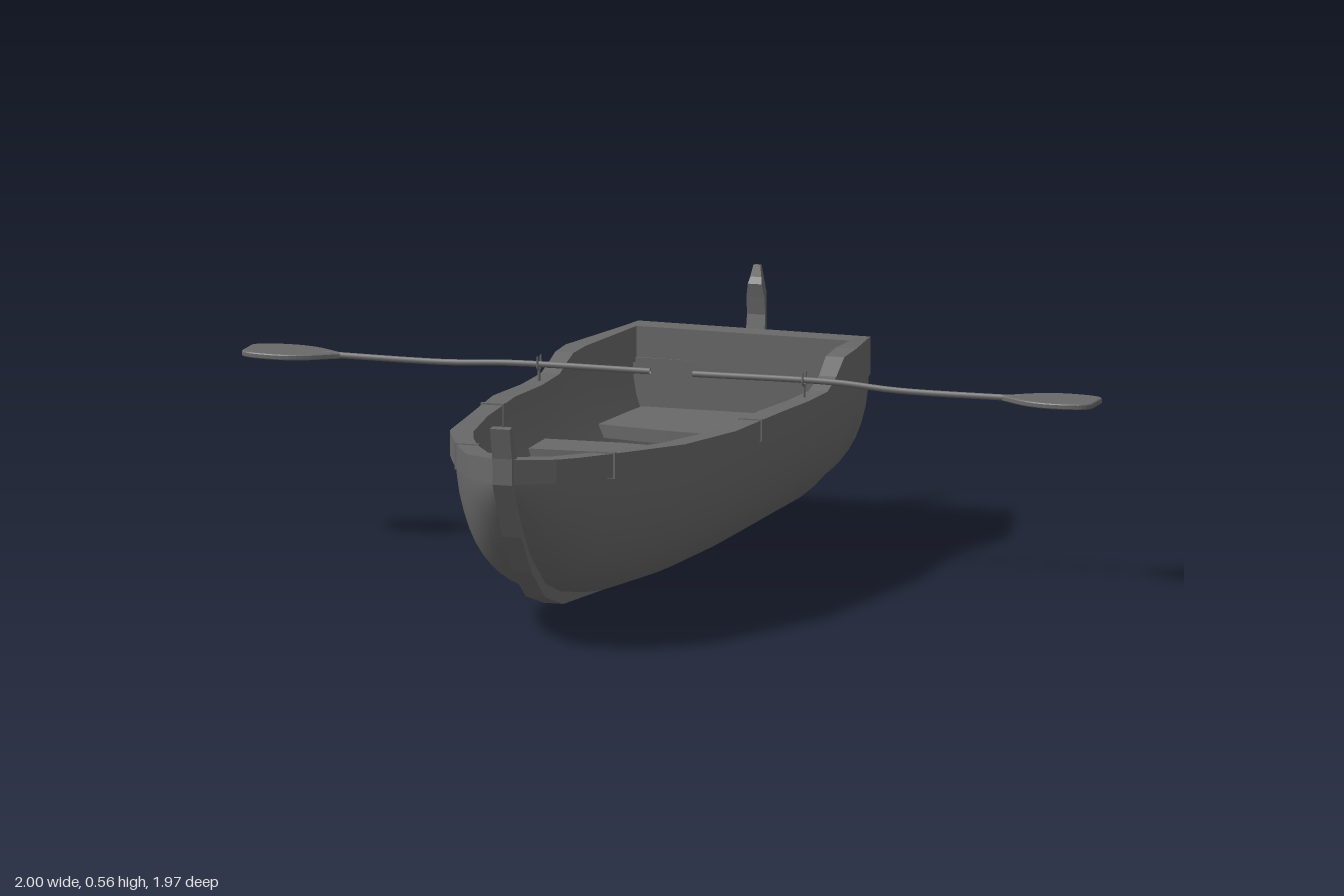
import * as THREE from 'three';

const smooth = new THREE.MeshStandardMaterial({ color: 0x696969, side: THREE.DoubleSide });
const flat = new THREE.MeshStandardMaterial({ color: 0x696969, side: THREE.DoubleSide, flatShading: true });

// Hull stations: z, rail half width, inner rail half width, keel y, rail underside y, rail top y (left), rail top y (right)
const stations = [
  [-0.84, 0.275, 0.255, 0.065, 0.345, 0.43, 0.43],
  [-0.78, 0.288, 0.26, 0.063, 0.35, 0.437, 0.43],
  [-0.53, 0.34, 0.292, 0.06, 0.37, 0.46, 0.43],
  [-0.45, 0.338, 0.295, 0.06, 0.37, 0.455, 0.428],
  [-0.40, 0.336, 0.295, 0.06, 0.366, 0.42, 0.415],
  [-0.34, 0.335, 0.292, 0.06, 0.36, 0.397, 0.4],
  [-0.20, 0.335, 0.288, 0.06, 0.36, 0.4, 0.4],
  [0.0, 0.337, 0.286, 0.06, 0.372, 0.412, 0.41],
  [0.25, 0.312, 0.268, 0.062, 0.362, 0.412, 0.412],
  [0.50, 0.275, 0.22, 0.075, 0.37, 0.425, 0.425],
  [0.62, 0.23, 0.18, 0.098, 0.378, 0.433, 0.433],
  [0.73, 0.185, 0.135, 0.135, 0.385, 0.44, 0.44],
  [0.84, 0.135, 0.075, 0.22, 0.393, 0.447, 0.447],
  [0.90, 0.105, 0.0, 0.295, 0.398, 0.452, 0.452],
  [0.965, 0.025, 0.0, 0.395, 0.402, 0.458, 0.458],
];

// Joins a row of equal cross-sections into one surface
function loft(sections) {
  const n = sections[0].length, index = [];
  for (let i = 0; i < sections.length - 1; i++) {
    for (let j = 0; j < n - 1; j++) {
      const a = i * n + j, b = a + n;
      index.push(a, a + 1, b, b, a + 1, b + 1);
    }
  }
  const geo = new THREE.BufferGeometry();
  geo.setAttribute('position', new THREE.Float32BufferAttribute(sections.flat(2), 3));
  geo.setIndex(index);
  geo.computeVertexNormals();
  return geo;
}

// Rounded hull section from one side over the keel to the other
function hullSection(z, width, keel, top) {
  const points = [], steps = 24;
  for (let i = 0; i <= steps; i++) {
    const t = (i / steps - 0.5) * Math.PI;
    points.push([
      width * Math.sign(t) * Math.pow(Math.abs(Math.sin(t)), 0.87),
      top - (top - keel) * Math.pow(Math.max(0, Math.cos(t)), 0.87), z]);
  }
  return points;
}

const shapeOf = pts => new THREE.Shape(pts.map(p => new THREE.Vector2(p[0], p[1])));

// Outline in (z, y), thickened across x
function sideProfile(pts, thickness) {
  const geo = new THREE.ExtrudeGeometry(shapeOf(pts), { depth: thickness, bevelEnabled: false });
  return geo.translate(0, 0, -thickness / 2).rotateY(-Math.PI / 2);
}

// Outline in (x, z), thickened downward from y
function board(shape, y, thickness, bevel = 0) {
  const geo = new THREE.ExtrudeGeometry(shape, {
    depth: thickness, bevelEnabled: bevel > 0, bevelSize: bevel, bevelThickness: bevel / 2, bevelSegments: 2, curveSegments: 10 });
  return geo.rotateX(Math.PI / 2).translate(0, y, 0);
}

const mirrored = half => [...half, ...half.slice().reverse().map(p => [-p[0], p[1]])];

export function createModel() {
  const boat = new THREE.Group();
  boat.name = 'rowingBoat';
  const add = (name, geo, mat = flat, parent = boat) => {
    const mesh = new THREE.Mesh(geo, mat);
    mesh.name = name;
    parent.add(mesh);
    return mesh;
  };

  // Planked shell, outside and inside
  add('hullOutside', loft(stations.map(([z, w, , k, b]) => hullSection(z, w - 0.014, k, b + 0.01))), smooth);
  add('hullInside', loft(stations.slice(1, 14).map(([z, , w, k, b]) =>
    hullSection(z, w + 0.004, Math.min(k + 0.035, b), b + 0.012))), smooth);

  // Gunwale rails with narrow joint strips; the stern end is slightly askew
  for (const s of [1, -1]) {
    add(s > 0 ? 'leftRail' : 'rightRail', loft(stations.map(([z, w, inner, , b, topL, topR], i) => {
      const top = s > 0 ? topL : topR;
      const endZ = i === 0 ? z + s * 0.012 : z;
      return [[inner, b], [inner, top], [w, top], [w, b], [inner, b]].map(([x, y]) => [s * x, y, endZ]);
    })));
    add('railJoint', new THREE.BoxGeometry(0.054, 0.05, 0.01).translate(s * 0.302, 0.39, 0.11));
    add('railJoint', new THREE.BoxGeometry(0.056, 0.06, 0.01).translate(s * 0.16, 0.413, 0.73));
  }

  // Transom: framed panel with a top beam
  const stern = hullSection(0, 0.268, 0.062, 0.36);
  const frame = shapeOf(stern);
  frame.holes.push(new THREE.Path(hullSection(0, 0.222, 0.11, 0.345).map(p => new THREE.Vector2(p[0], p[1]))));
  add('transomFrame', new THREE.ExtrudeGeometry(frame, { depth: 0.055, bevelEnabled: false }).translate(0, 0, -0.842));
  add('transomPanel', new THREE.ExtrudeGeometry(shapeOf(stern), { depth: 0.025, bevelEnabled: false }).translate(0, 0, -0.81));
  add('transomBeam', new THREE.BoxGeometry(0.55, 0.085, 0.062).rotateY(-0.044).translate(0, 0.3875, -0.811));

  // Keel rising into the stem post
  add('keelAndStem', sideProfile([
    [-0.83, 0.06], [-0.6, 0.046], [0, 0.045], [0.3, 0.047], [0.6, 0.067], [0.73, 0.105], [0.83, 0.18],
    [0.9, 0.27], [0.968, 0.4], [0.97, 0.46], [0.987, 0.53], [0.965, 0.532], [0.93, 0.45], [0.925, 0.39],
    [0.87, 0.285], [0.8, 0.21], [0.71, 0.14], [0.6, 0.1], [0.3, 0.075], [0, 0.073], [-0.83, 0.08]], 0.046));

  // Floor and seats
  add('floor', board(shapeOf(mirrored([
    [0.17, -0.78], [0.2, -0.5], [0.203, 0], [0.175, 0.37], [0.15, 0.5], [0.13, 0.57], [0.095, 0.605]])), 0.16, 0.015));
  add('sternSeat', board(shapeOf(mirrored([
    [0.244, -0.785], [0.283, -0.555], [0.2, -0.54], [0.1, -0.522], [0.02, -0.516]])), 0.25, 0.03));
  add('middleBench', board(shapeOf([
    [-0.28, -0.2], [-0.1, -0.205], [0.08, -0.18], [0.28, -0.175],
    [0.28, -0.07], [0.2, -0.05], [0.06, -0.055], [-0.1, -0.085], [-0.28, -0.075]]), 0.28, 0.035));
  add('frontBench', board(shapeOf([
    [-0.265, 0.25], [0, 0.258], [0.265, 0.245], [0.24, 0.375], [0, 0.37], [-0.24, 0.378]]), 0.28, 0.035));

  // Rudder, thinner toward its trailing edge, head and foot
  const rudder = sideProfile([
    [-0.845, 0.53], [-0.853, 0.545], [-0.86, 0.57], [-0.872, 0.57], [-0.88, 0.51], [-0.872, 0.42], [-0.87, 0.28],
    [-0.885, 0.17], [-0.93, 0.1], [-0.985, 0.06], [-0.975, 0.045], [-0.885, 0.005], [-0.87, 0.01],
    [-0.835, 0.1], [-0.838, 0.22], [-0.842, 0.38], [-0.855, 0.46], [-0.85, 0.5]], 0.045);
  const pos = rudder.attributes.position;
  for (let i = 0; i < pos.count; i++) {
    const y = pos.getY(i);
    const along = THREE.MathUtils.clamp((pos.getZ(i) + 0.985) / 0.14, 0, 1);
    const ends = Math.min(1, 0.3 + y * 7, 0.4 + (0.57 - y) * 8);
    pos.setX(i, pos.getX(i) * (0.2 + 0.8 * along) * ends);
  }
  add('rudder', rudder);
  for (const y of [0.2, 0.4]) add('rudderHinge', new THREE.BoxGeometry(0.03, 0.02, 0.06).translate(0, y, -0.83));

  // Oars resting in forked oarlocks
  for (const s of [1, -1]) {
    const oar = new THREE.Group();
    oar.name = s > 0 ? 'leftOar' : 'rightOar';
    boat.add(oar);
    const endZ = s > 0 ? -0.237 : -0.265;
    const path = new THREE.CatmullRomCurve3([
      [0.05, 0.437, -0.248], [0.38, 0.437, -0.248], [0.53, 0.428, (endZ - 0.25) / 2], [0.82, 0.428, endZ],
    ].map(([x, y, z]) => new THREE.Vector3(s * x, y, z)));
    add('oarShaft', new THREE.TubeGeometry(path, 24, 0.007, 8), smooth, oar);
    const blade = new THREE.Shape();
    blade.moveTo(0.785, -0.004);
    blade.bezierCurveTo(0.82, -0.025, 0.85, -0.062, 0.92, -0.06);
    blade.bezierCurveTo(0.96, -0.058, 0.993, -0.05, 0.993, -0.03);
    blade.lineTo(0.993, 0.03);
    blade.bezierCurveTo(0.993, 0.05, 0.96, 0.058, 0.92, 0.06);
    blade.bezierCurveTo(0.85, 0.062, 0.82, 0.025, 0.785, 0.004);
    const bladeMesh = add('oarBlade', board(blade, 0.431, 0.008, 0.006), flat, oar);
    bladeMesh.position.z = endZ;
    bladeMesh.rotation.y = s > 0 ? 0 : Math.PI;
    const lock = new THREE.TorusGeometry(0.012, 0.003, 6, 10, Math.PI).rotateZ(Math.PI).rotateY(Math.PI / 2);
    add('oarlockFork', lock.translate(s * 0.31, 0.438, -0.248), smooth, oar);
    for (const dz of [-0.012, 0.012]) {
      add('oarlockProng', new THREE.CylinderGeometry(0.002, 0.003, 0.02, 6).translate(s * 0.31, 0.447, -0.248 + dz), smooth, oar);
    }
    add('oarlockPin', new THREE.CylinderGeometry(0.003, 0.003, 0.04, 8).translate(s * 0.31, 0.408, -0.248), smooth, oar);
  }
  return boat;
}
